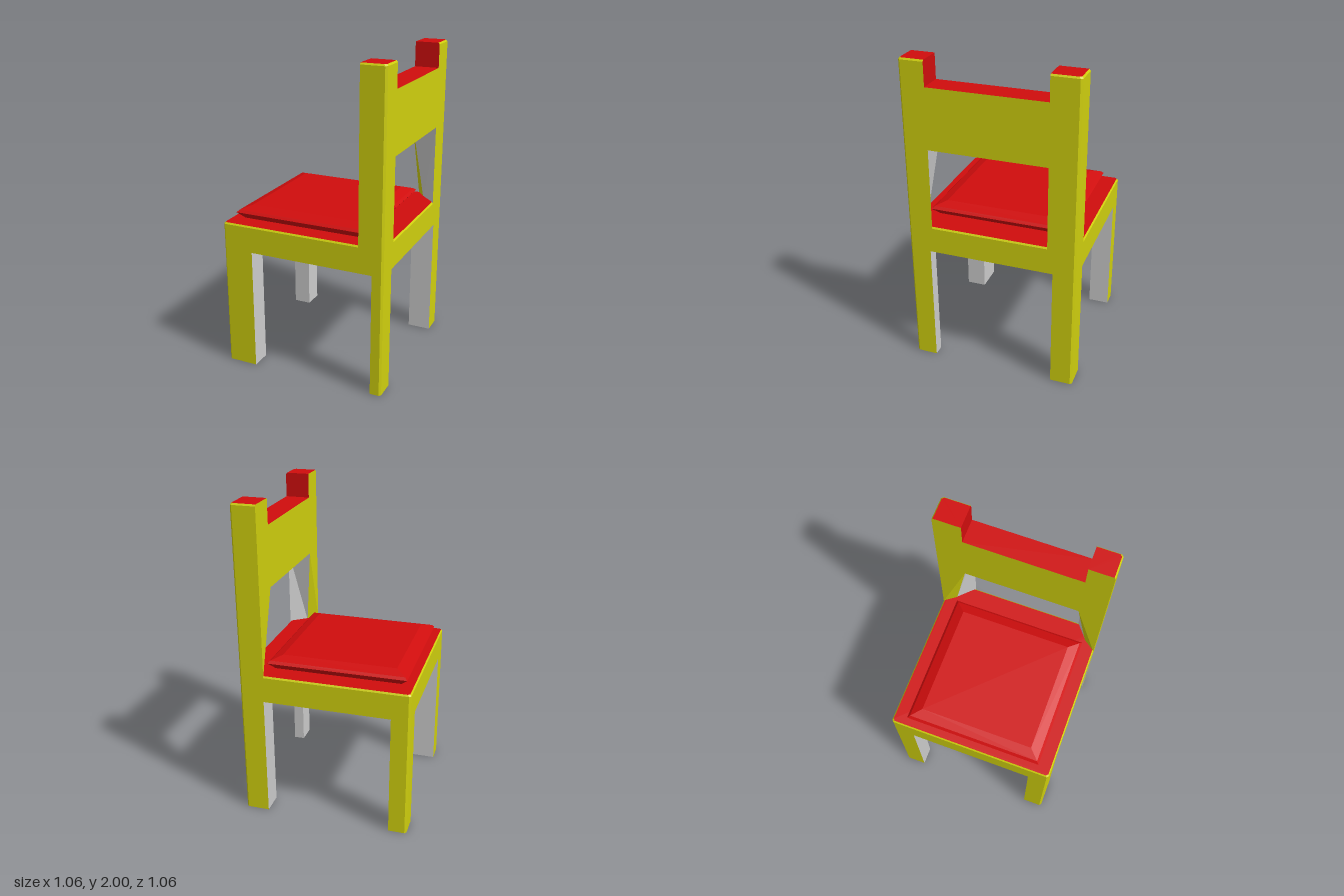
import * as THREE from 'three';

const YELLOW = 0xcfcf0e, RED = 0xd00d0d, GREY = 0xcccccc;
const HALF = 0.53, BEVEL = 0.012;
const materials = new Map([YELLOW, RED, GREY].map((color) => [
  color, new THREE.MeshStandardMaterial({ color, flatShading: true }),
]));

// Joins stacked rings of [x, y, z] points into a closed solid with one colour per side.
function loft(name, rings, sides, bottom, top) {
  const faces = new Map();
  const n = rings[0].length;
  let area = 0;
  rings[0].forEach((p, i) => {
    const q = rings[0][(i + 1) % n];
    area += p[0] * q[2] - q[0] * p[2];
  });
  const tri = (color, a, b, c) => {
    if (!faces.has(color)) faces.set(color, []);
    faces.get(color).push(...a, ...(area > 0 ? c : b), ...(area > 0 ? b : c));
  };
  for (let r = 0; r + 1 < rings.length; r++) {
    for (let i = 0; i < n; i++) {
      const j = (i + 1) % n, lo = rings[r], hi = rings[r + 1];
      const color = sides[i % sides.length];
      tri(color, lo[i], lo[j], hi[j]);
      tri(color, lo[i], hi[j], hi[i]);
    }
  }
  const first = rings[0], last = rings[rings.length - 1];
  for (let i = 1; i + 1 < n; i++) {
    tri(bottom, first[0], first[i + 1], first[i]);
    tri(top, last[0], last[i], last[i + 1]);
  }
  const group = new THREE.Group();
  group.name = name;
  for (const [color, points] of faces) {
    const geometry = new THREE.BufferGeometry();
    geometry.setAttribute('position', new THREE.Float32BufferAttribute(points, 3));
    geometry.computeVertexNormals();
    const mesh = new THREE.Mesh(geometry, materials.get(color));
    mesh.name = name + 'Faces';
    group.add(mesh);
  }
  return group;
}

// Footprint of a corner post: inner corner (xi, zi), outer corner bevelled.
function cornerRing(xi, zi, y, inset = 0) {
  const sx = Math.sign(xi), sz = Math.sign(zi), o = HALF - inset;
  return [
    [xi, y, zi], [sx * o, y, zi], [sx * o, y, sz * (o - BEVEL)],
    [sx * (o - BEVEL), y, sz * o], [xi, y, sz * o],
  ];
}

function rectRing(x0, x1, z0, z1, y, d = 0) {
  return [[x0 + d, y, z0 + d], [x1 - d, y, z0 + d], [x1 - d, y, z1 - d], [x0 + d, y, z1 - d]];
}

function seatRing(y, inset = 0) {
  const o = HALF - inset, b = o - BEVEL;
  return [[-b, -o], [b, -o], [o, -b], [o, b], [b, o], [-b, o], [-o, b], [-o, -b]]
    .map(([x, z]) => [x, y, z]);
}

export function createModel() {
  const chair = new THREE.Group();
  chair.name = 'chair';

  // Seat slab
  const seatBottom = 0.785, seatTop = 0.957;
  chair.add(loft('seat',
    [seatRing(seatBottom), seatRing(seatTop - 0.01), seatRing(seatTop, 0.008)],
    [YELLOW], GREY, RED));

  // Cushion with an undercut rim and a sloped top border
  const cushion = [[seatTop, 0.04], [1.0, 0], [1.015, 0.015], [1.037, 0.077]];
  chair.add(loft('cushion',
    cushion.map(([y, d]) => rectRing(-0.485, 0.385, -0.435, 0.445, y, d)),
    [RED], RED, RED));

  // Legs, each of its own thickness
  const legs = [
    ['frontLegNearBack', 0.46, 0.395], ['frontLegFar', -0.335, 0.4],
    ['rearLegNearBack', 0.38, -0.39], ['rearLegFar', -0.415, -0.395],
  ];
  for (const [name, xi, zi] of legs) {
    chair.add(loft(name, [cornerRing(xi, zi, 0), cornerRing(xi, zi, seatBottom)],
      [GREY, YELLOW, YELLOW, YELLOW, GREY], GREY, GREY));
  }

  // Backrest posts: inner front edge tapers towards the seat
  const backX = 0.375, panelBottom = 1.465, panelTop = 1.845;
  for (const zi of [0.375, -0.355]) {
    const foot = cornerRing(backX, zi, seatTop - 0.01);
    foot[0] = [0.43, seatTop - 0.01, Math.sign(zi) * 0.455];
    chair.add(loft('backPostLower', [foot, cornerRing(backX, zi, panelBottom)],
      [GREY, YELLOW, YELLOW, YELLOW, YELLOW], GREY, GREY));
    chair.add(loft('backPostUpper', [
      cornerRing(backX, zi, panelBottom), cornerRing(backX, zi, 1.99),
      cornerRing(backX, zi, 2, 0.008),
    ], [RED, YELLOW, YELLOW, YELLOW, YELLOW], GREY, RED));
  }

  // Backrest panel
  chair.add(loft('backPanel',
    [panelBottom, panelTop].map((y) => rectRing(backX, HALF, -0.355, 0.375, y)),
    [YELLOW], GREY, RED));

  return chair;
}
